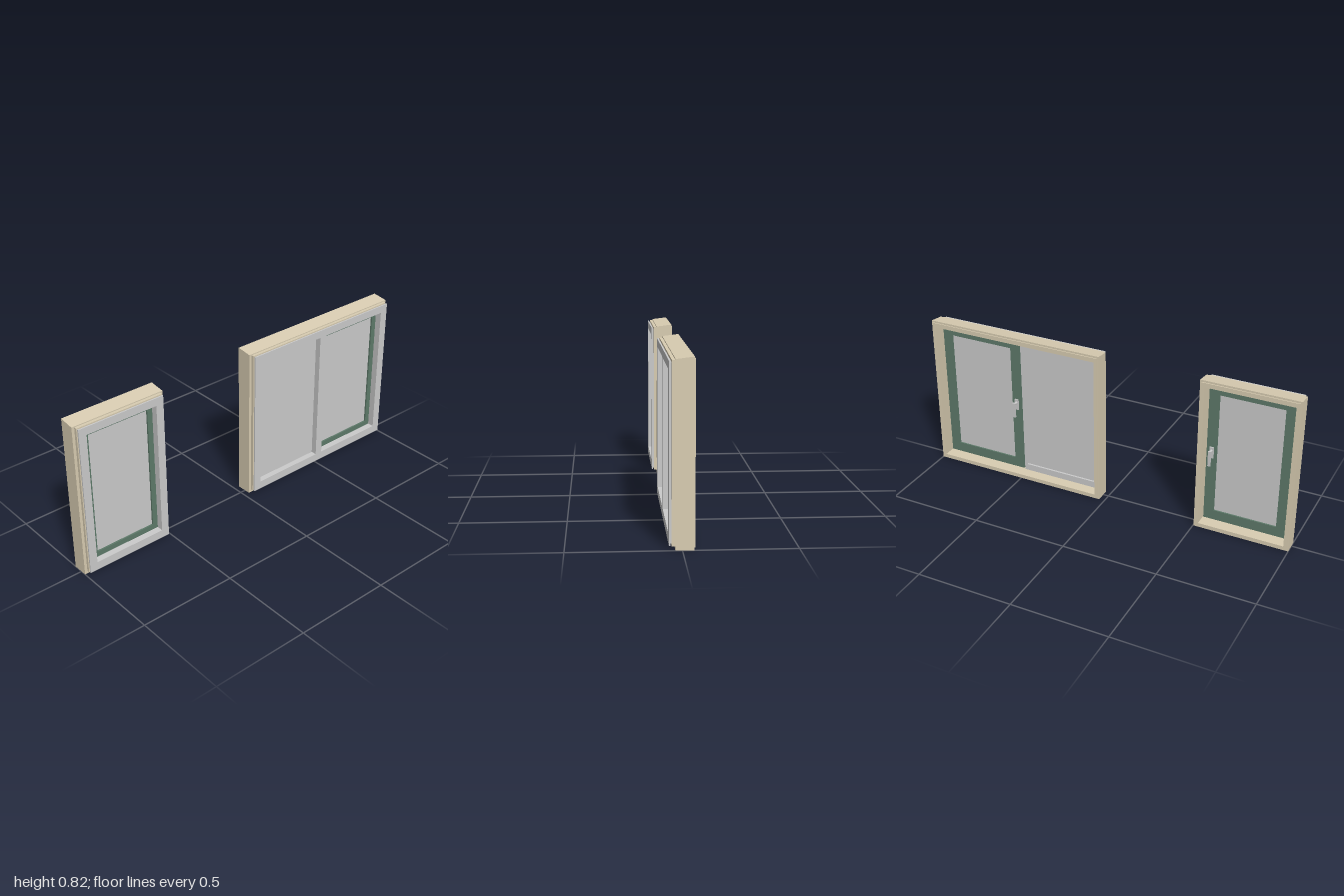
import * as THREE from 'three';

const grey = new THREE.MeshStandardMaterial({ color: 0xcccccc });
const cream = new THREE.MeshStandardMaterial({ color: 0xd9cdb2 });
const green = new THREE.MeshStandardMaterial({ color: 0x5e7a6a });

function add(parent, name, geometry, material) {
  const mesh = new THREE.Mesh(geometry, material);
  mesh.name = name;
  parent.add(mesh);
  return mesh;
}

function trace(path, [x0, x1, y0, y1]) {
  path.moveTo(x0, y0);
  path.lineTo(x1, y0);
  path.lineTo(x1, y1);
  path.lineTo(x0, y1);
  path.closePath();
  return path;
}

// Rectangular frame with rectangular openings; rectangles are [x0, x1, y0, y1]
function frameGeometry(outer, openings, z0, z1) {
  const shape = trace(new THREE.Shape(), outer);
  for (const o of openings) shape.holes.push(trace(new THREE.Path(), o));
  const g = new THREE.ExtrudeGeometry(shape, { depth: z1 - z0, bevelEnabled: false });
  return g.translate(0, 0, z0);
}

const grow = ([x0, x1, y0, y1], d) => [x0 - d, x1 + d, y0 - d, y1 + d];

function boxGeometry([x0, x1, y0, y1], z0, z1) {
  return new THREE.BoxGeometry(x1 - x0, y1 - y0, z1 - z0)
    .translate((x0 + x1) / 2, (y0 + y1) / 2, (z0 + z1) / 2);
}

// Back plate, spindle and a lever hanging down
function makeHandle(x, y, z) {
  const handle = new THREE.Group();
  handle.name = 'handle';
  handle.position.set(x, y, z);
  add(handle, 'handlePlate', boxGeometry([-0.011, 0.011, -0.03, 0.03], -0.006, 0), grey);
  const spindle = new THREE.CylinderGeometry(0.007, 0.007, 0.026, 16).rotateX(Math.PI / 2);
  add(handle, 'handleSpindle', spindle, grey).position.set(0, 0.012, -0.018);
  add(handle, 'handleLever', boxGeometry([-0.007, 0.007, -0.062, 0.02], -0.034, -0.025), grey);
  return handle;
}

function makeWindow(name, x0, x1, openings, sashOpening) {
  const win = new THREE.Group();
  win.name = name;
  const inner = [x0 + 0.025, x1 - 0.025, 0.025, 0.792];

  // Outer casing, its top rising gently towards the back
  const top = 0.815;
  const casing = frameGeometry([x0, x1, 0, top], [inner], -0.05, 0.03);
  const p = casing.attributes.position;
  for (let i = 0; i < p.count; i++) {
    if (p.getY(i) > top - 0.001) p.setY(i, top + 0.01 * (0.03 - p.getZ(i)) / 0.08);
  }
  casing.computeVertexNormals();
  add(win, 'casing', casing, cream);
  add(win, 'casingBackTrim',
    frameGeometry([x0 + 0.008, x1 - 0.008, 0.01, 0.815], [inner], -0.055, -0.05), cream);
  add(win, 'casingFrontStep',
    frameGeometry([x0 + 0.014, x1 - 0.014, 0.015, 0.81], [inner], 0.03, 0.045), cream);

  // Fixed frame: front flange, recessed joint and body inside the casing
  const flange = [x0 + 0.016, x1 - 0.016, 0.017, 0.807];
  add(win, 'frameFlange', frameGeometry(flange, openings, 0.05, 0.057), grey);
  add(win, 'frameJoint', frameGeometry(grow(flange, -0.008), openings, 0.045, 0.05), grey);
  add(win, 'frameBody', frameGeometry(inner, openings, 0.02, 0.045), grey);

  for (const o of openings) {
    if (o !== sashOpening) {
      // Fixed pane, held by the frame and a bead behind it
      add(win, 'fixedGlass', boxGeometry(grow(o, 0.004), 0.014, 0.026), grey);
      const back = [inner[0], sashOpening[0] - 0.027, inner[2], inner[3]];
      add(win, 'fixedRebate', frameGeometry(back, [o], 0.004, 0.02), grey);
      continue;
    }
    // Opening sash overlapping the frame from behind
    const hole = grow(o, -0.028);
    add(win, 'sash', frameGeometry(grow(o, 0.025), [hole], -0.003, 0.022), green);
    add(win, 'sashGlass', boxGeometry(grow(hole, 0.004), 0.005, 0.013), grey);
  }
  return win;
}

export function createModel() {
  const model = new THREE.Group();
  model.name = 'windows';

  // Narrow window with a single sash
  const single = [-0.943, -0.56, 0.06, 0.767];
  const narrow = makeWindow('narrowWindow', -1, -0.503, [single], single);
  narrow.add(makeHandle(-0.562, 0.42, -0.003));

  // Wide window with one fixed pane and one sash
  const fixed = [0.088, 0.49, 0.06, 0.767];
  const moving = [0.532, 0.94, 0.06, 0.767];
  const wide = makeWindow('wideWindow', 0.03, 1, [fixed, moving], moving);
  wide.add(makeHandle(0.534, 0.42, -0.003));

  model.add(narrow, wide);
  return model;
}
